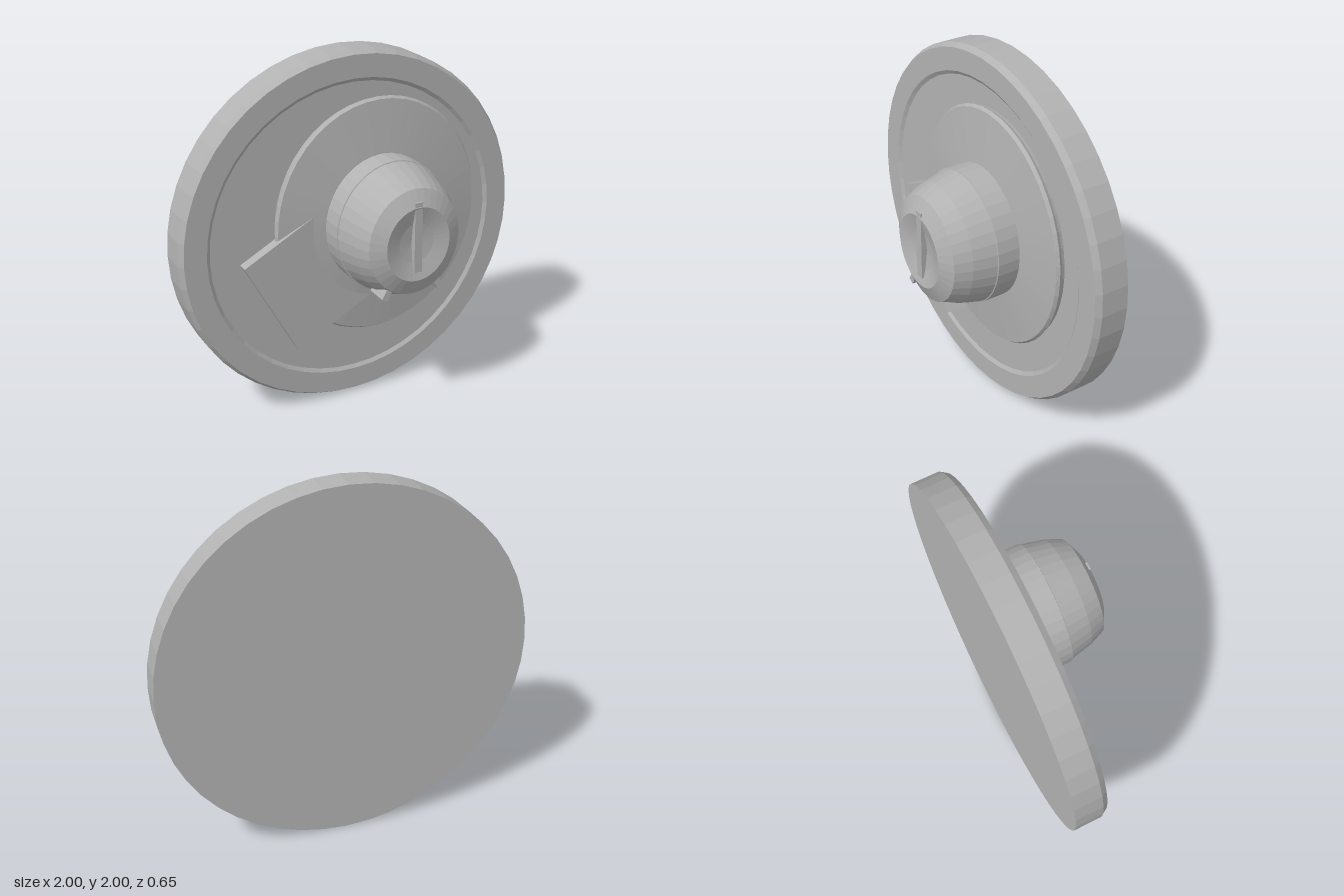
import * as THREE from 'three';

const SQUASH = 0.907; // the knob and flange are slightly narrow ovals
const CX = 0.125, CY = 1.077;

export function createModel() {
  const group = new THREE.Group();
  const grey = new THREE.MeshStandardMaterial({ color: 0xb2b2b2, flatShading: true });
  grey.name = 'plain grey';

  function add(name, geometry, parent = group) {
    const mesh = new THREE.Mesh(geometry, grey);
    mesh.name = name;
    parent.add(mesh);
    return mesh;
  }

  // Turned part along z; profile is [radius, z] from back to front
  function turned(name, profile, segments, parent) {
    const pts = profile.map(([r, z]) => new THREE.Vector2(r, z));
    return add(name, new THREE.LatheGeometry(pts, segments).rotateX(Math.PI / 2), parent);
  }

  // Base disc with bevelled rim and shallow recessed face
  turned('baseDisc', [
    [0, -0.325], [1, -0.325], [1, -0.17], [0.98, -0.138],
    [0.855, -0.138], [0.835, -0.152], [0, -0.152],
  ], 48).position.set(0, 1, 0);

  // Oval dial assembly
  const dial = new THREE.Group();
  dial.name = 'dial';
  dial.position.set(CX, CY, 0);
  group.add(dial);

  const oval = new THREE.Group();
  oval.name = 'ovalParts';
  oval.scale.x = SQUASH;
  dial.add(oval);

  turned('flange', [
    [0, -0.155], [0.655, -0.155], [0.66, -0.135], [0.672, -0.115],
    [0.66, -0.098], [0.375, -0.067], [0, -0.067],
  ], 48, oval);

  // Knob with rounded shoulder and dished front
  turned('knob', [
    [0, -0.08], [0.372, -0.08], [0.372, 0.06], [0.366, 0.062],
    [0.335, 0.19], [0.295, 0.28], [0.205, 0.322], [0.11, 0.298], [0, 0.285],
  ], 36, oval);

  // Raised pointer bar across the dish
  add('pointerBar', new THREE.BoxGeometry(0.045, 0.39, 0.05), dial)
    .position.set(0, 0.037, 0.295);

  // Two small radial lugs under the knob
  for (const side of [-1, 1]) {
    const pivot = new THREE.Group();
    pivot.name = side > 0 ? 'leftLug' : 'rightLug';
    pivot.rotation.z = side * 0.51;
    dial.add(pivot);
    add('lug', new THREE.BoxGeometry(0.036, 0.08, 0.125), pivot).position.set(0, -0.308, 0.21);
  }

  // Tilted flat tab emerging from under the flange
  const len = 0.55, width = 0.626, tilt = 0.487;
  const tab = add('tab', new THREE.BoxGeometry(len, width, 0.06));
  tab.rotation.z = tilt;
  tab.position.set(-0.53 + Math.cos(tilt) * len / 2, 0.675 + Math.sin(tilt) * len / 2, -0.105);

  return group;
}
